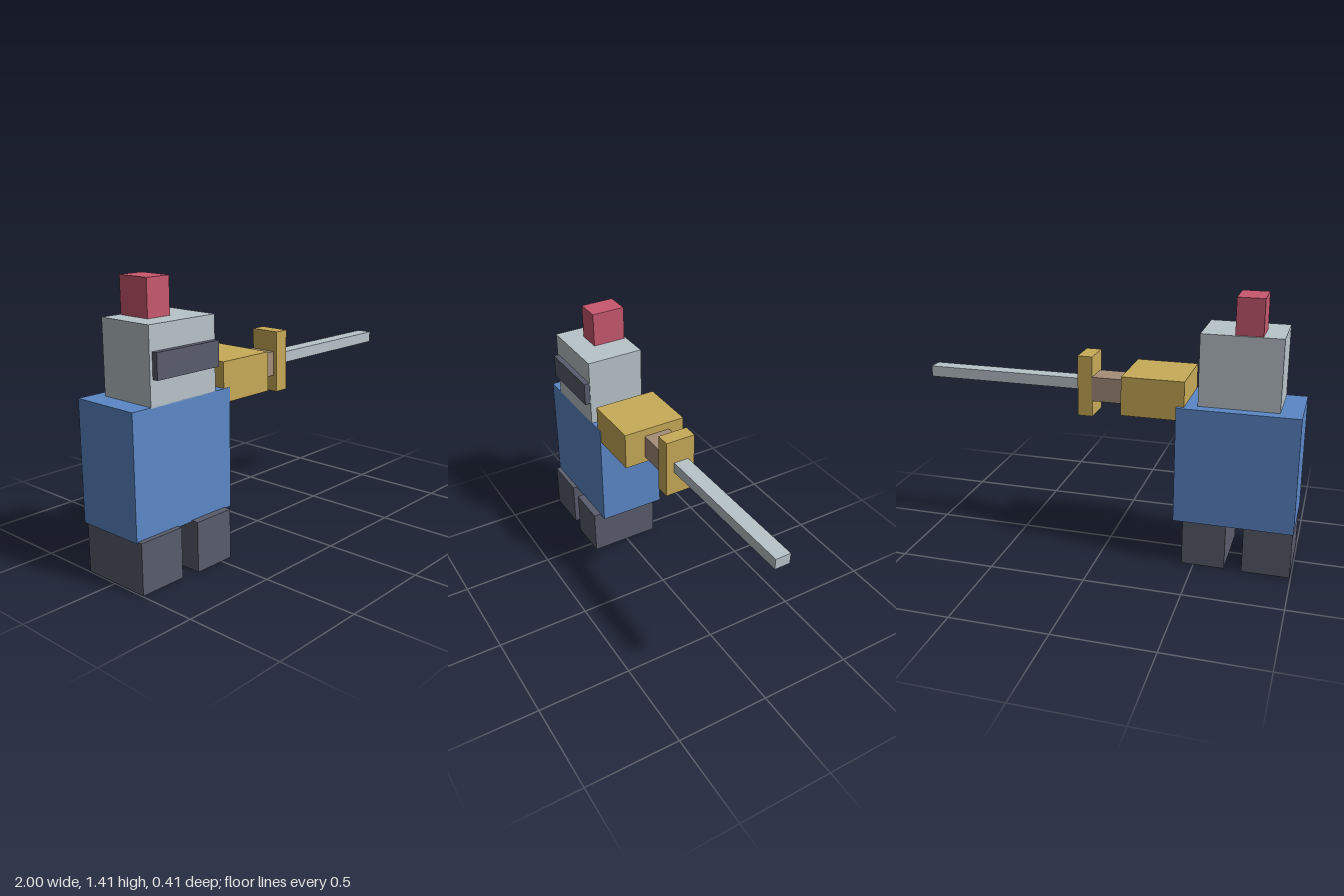
import * as THREE from 'three';

const mat = (name, color) => {
  const m = new THREE.MeshStandardMaterial({ color });
  m.name = name;
  return m;
};

export function createModel() {
  const model = new THREE.Group();
  model.name = 'blockKnight';

  const blue = mat('tunicBlue', 0x5b88c8);
  const slate = mat('darkSlate', 0x595c6c);
  const steel = mat('steelGrey', 0xb9c4c9);
  const gold = mat('gold', 0xc8ab58);
  const red = mat('plumeRed', 0xc8586f);
  const brown = mat('gripBrown', 0xa68e79);

  // Adds a box spanning the given [min, max] ranges
  const block = (name, material, [x0, x1], [y0, y1], [z0, z1], parent = model) => {
    const mesh = new THREE.Mesh(new THREE.BoxGeometry(x1 - x0, y1 - y0, z1 - z0), material);
    mesh.position.set((x0 + x1) / 2, (y0 + y1) / 2, (z0 + z1) / 2);
    mesh.name = name;
    parent.add(mesh);
    return mesh;
  };

  // Legs and body
  block('rightLeg', slate, [-0.995, -0.75], [0, 0.255], [-0.19, 0.193]);
  block('leftLeg', slate, [-0.66, -0.437], [0, 0.255], [-0.185, 0.207]);
  block('torso', blue, [-1, -0.39], [0.248, 0.855], [-0.207, 0.167]);

  // Helmet with visor and plume
  const head = new THREE.Group();
  head.name = 'head';
  model.add(head);
  block('helmet', steel, [-0.892, -0.488], [0.85, 1.222], [-0.148, 0.167], head);
  block('visor', slate, [-0.876, -0.492], [0.978, 1.103], [0.15, 0.197], head);
  block('plume', red, [-0.79, -0.655], [1.215, 1.406], [-0.137, 0.047], head);

  // Outstretched left arm
  block('leftArm', gold, [-0.427, -0.105], [0.783, 0.985], [-0.185, 0.163]);

  // Sword
  const sword = new THREE.Group();
  sword.name = 'sword';
  model.add(sword);
  block('grip', brown, [-0.11, 0.075], [0.815, 0.943], [-0.097, 0.048], sword);
  block('crossguard', gold, [0.072, 0.151], [0.73, 1.05], [-0.094, 0.069], sword);
  block('blade', steel, [0.145, 1], [0.862, 0.92], [-0.058, 0.024], sword);

  return model;
}
